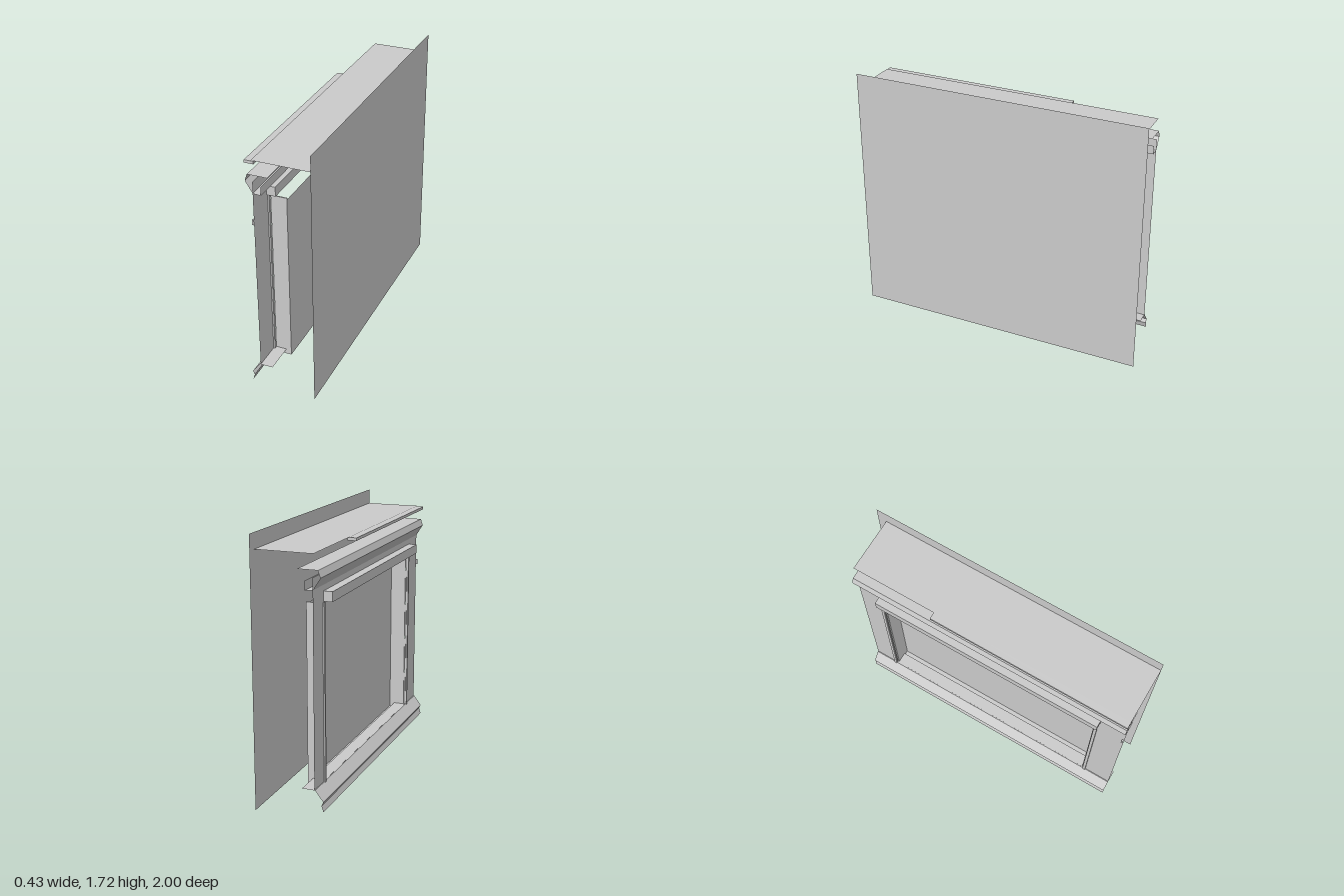
import * as THREE from 'three';

const material = new THREE.MeshStandardMaterial({ color: 0xcccccc, flatShading: true, side: THREE.DoubleSide });
const Z0 = -0.94, Z1 = 1; // ends of the surround

function add(group, name, geometry) {
  const mesh = new THREE.Mesh(geometry, material);
  mesh.name = name;
  group.add(mesh);
  return mesh;
}

// Box given by its limits on each axis
function box(group, name, x0, x1, y0, y1, z0, z1) {
  const mesh = add(group, name, new THREE.BoxGeometry(x1 - x0, y1 - y0, z1 - z0));
  mesh.position.set((x0 + x1) / 2, (y0 + y1) / 2, (z0 + z1) / 2);
}

// Upright sheet facing sideways, with an optional rectangular opening
function wall(group, name, x, [z0, z1, y0, y1], opening) {
  const rect = (path, a, b, c, d) => path.moveTo(a, c).lineTo(b, c).lineTo(b, d).lineTo(a, d).closePath();
  const shape = new THREE.Shape();
  rect(shape, z0, z1, y0, y1);
  if (opening) {
    const hole = new THREE.Path();
    rect(hole, ...opening);
    shape.holes.push(hole);
  }
  add(group, name, new THREE.ShapeGeometry(shape).rotateY(-Math.PI / 2).translate(x, 0, 0));
}

// Open sheet swept along z from an x,y profile
function sheet(group, name, profile, z0, z1) {
  const positions = [];
  for (let i = 0; i < profile.length - 1; i++) {
    const [ax, ay] = profile[i], [bx, by] = profile[i + 1];
    positions.push(ax, ay, z0, ax, ay, z1, bx, by, z1, ax, ay, z0, bx, by, z1, bx, by, z0);
  }
  const geometry = new THREE.BufferGeometry();
  geometry.setAttribute('position', new THREE.Float32BufferAttribute(positions, 3));
  geometry.computeVertexNormals();
  add(group, name, geometry);
}

export function createModel() {
  const model = new THREE.Group();
  model.name = 'windowSurround';

  // Large backing sheet and the flat top shelf
  wall(model, 'backWall', 0.212, [-1, 1, 0, 1.72]);
  sheet(model, 'topShelf', [[0.212, 1.62], [-0.162, 1.62]], Z0, Z1);
  box(model, 'shelfTrim', -0.205, -0.145, 1.597, 1.616, -0.36, Z1);

  // Facing with its opening, and the recessed pane
  wall(model, 'facingPanel', -0.157, [Z0, Z1, 0.165, 1.48], [-0.765, 0.79, 0.166, 1.3]);
  wall(model, 'pane', -0.041, [-0.765, 0.79, 0.13, 1.28]);

  // Crown and sill mouldings
  sheet(model, 'crownMoulding', [[-0.06, 1.525], [-0.19, 1.525], [-0.205, 1.48],
    [-0.157, 1.405], [-0.105, 1.4], [-0.105, 1.457]], Z0, Z1);
  sheet(model, 'sillMoulding', [[-0.075, 0.165], [-0.162, 0.165], [-0.215, 0.095],
    [-0.203, 0.07], [-0.215, 0.03]], Z0, Z1);

  // Header beam above the opening
  box(model, 'headerBeam', -0.215, -0.1, 1.305, 1.368, -0.78, 0.825);

  // Jambs lining both sides of the opening
  for (const [z, out] of [[0.79, 1], [-0.765, -1]]) {
    const jamb = new THREE.Group();
    jamb.name = out > 0 ? 'frontJamb' : 'rearJamb';
    model.add(jamb);
    box(jamb, 'jambLining', -0.147, -0.041, 0.13, 1.29, z - 0.004, z + 0.004);
    box(jamb, 'jambTrim', -0.166, -0.147, 0.13, 1.3, z - 0.01 + out * 0.015, z + 0.01 + out * 0.015);
  }
  box(model, 'bottomRail', -0.147, -0.041, 0.13, 0.138, -0.765, 0.79);

  // Small catch on the facing edge
  box(model, 'catch', -0.17, -0.159, 1.19, 1.225, 0.985, 1);

  return model;
}
